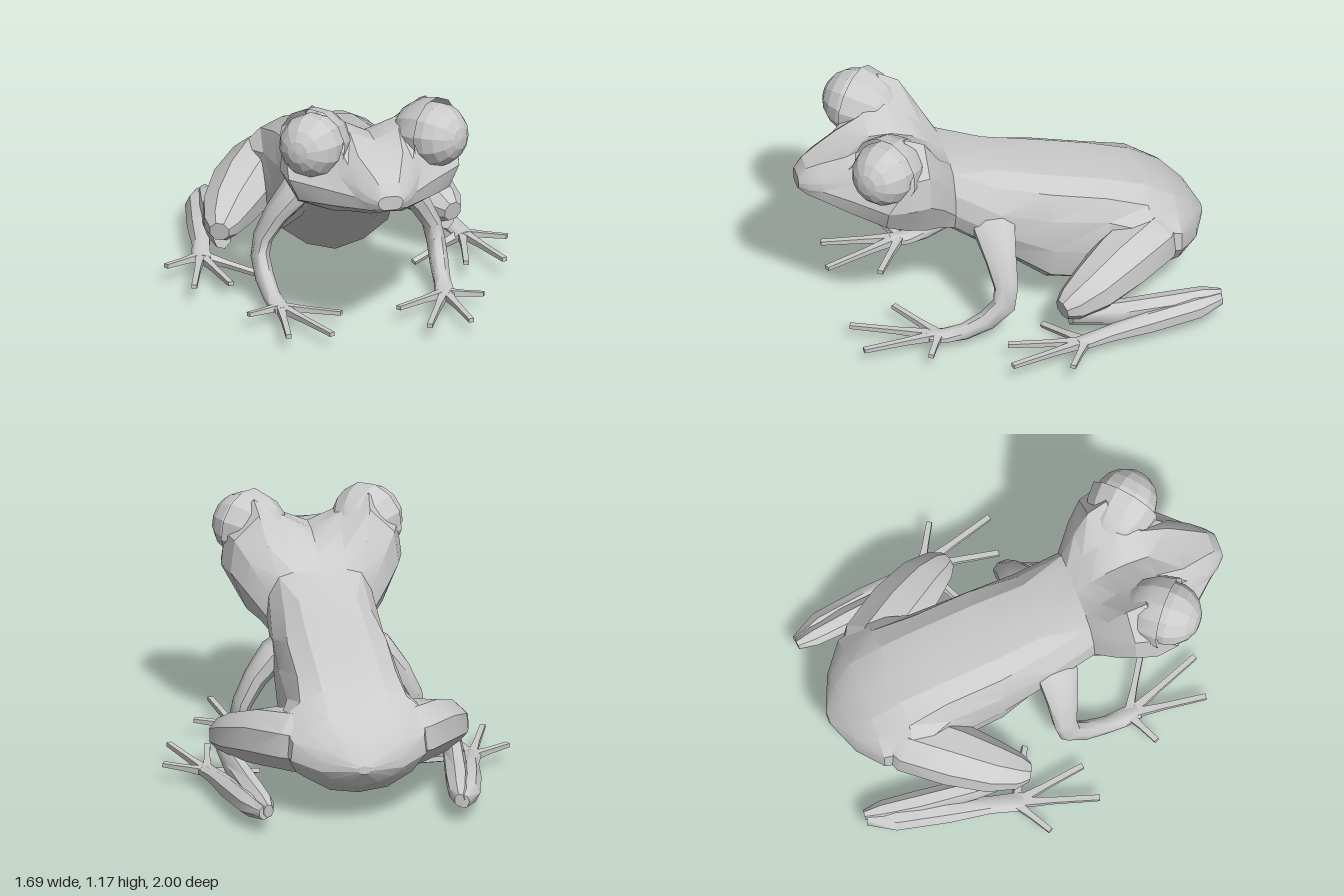
import * as THREE from 'three';
import { toCreasedNormals } from 'three/addons/utils/BufferGeometryUtils.js';

const material = new THREE.MeshStandardMaterial({ color: 0xcccccc });
const lidMaterial = new THREE.MeshStandardMaterial({ color: 0xcccccc, side: THREE.DoubleSide });

// Skin a list of equal-length rings, cap both ends and turn the faces outward.
function loft(rings, crease) {
  const n = rings[0].length, tris = [];
  for (let i = 0; i < rings.length - 1; i++)
    for (let j = 0; j < n; j++) {
      const k = (j + 1) % n, a = rings[i][j], b = rings[i][k], c = rings[i + 1][k], d = rings[i + 1][j];
      // Mirror the diagonal across the middle so both sides match
      if (j < n / 2) tris.push([a, b, c], [a, c, d]);
      else tris.push([a, b, d], [b, c, d]);
    }
  const cap = (ring, flip) => {
    const mid = ring.reduce((s, p) => s.add(p), new THREE.Vector3()).divideScalar(n);
    ring.forEach((p, j) => {
      const q = ring[(j + 1) % n];
      tris.push(flip ? [mid, q, p] : [mid, p, q]);
    });
  };
  cap(rings[0], true);
  cap(rings[rings.length - 1], false);
  let volume = 0;
  for (const [a, b, c] of tris) volume += a.dot(new THREE.Vector3().crossVectors(b, c));
  const points = tris.flatMap(t => (volume < 0 ? [t[0], t[2], t[1]] : t));
  const geometry = new THREE.BufferGeometry().setFromPoints(points);
  return toCreasedNormals(geometry, crease);
}

// Limb through stations [x, y, z, half width, half height]; side mirrors x.
function limb(stations, side, sides = 8, crease = 0.85) {
  const pts = stations.map(s => new THREE.Vector3(s[0] * side, s[1], s[2]));
  const axis = new THREE.Vector3(1, 0, 0);
  const rings = pts.map((p, i) => {
    const t = pts[Math.min(i + 1, pts.length - 1)].clone().sub(pts[Math.max(i - 1, 0)]).normalize();
    const v = new THREE.Vector3().crossVectors(t, axis).normalize();
    const u = new THREE.Vector3().crossVectors(v, t);
    return Array.from({ length: sides }, (_, j) => {
      const a = (j + 0.5) / sides * Math.PI * 2;
      return p.clone().addScaledVector(u, Math.cos(a) * stations[i][3])
        .addScaledVector(v, Math.sin(a) * stations[i][4]);
    });
  });
  return loft(rings, crease);
}

// Half-sections from top centre to bottom centre: z, then x, y pairs.
const rear = [
  [-1, 0, .32, .01, .32, .02, .315, .03, .31, .03, .295, .02, .285, .01, .28, 0, .28],
  [-.93, 0, .43, .1, .42, .17, .38, .2, .33, .2, .28, .15, .24, .08, .21, 0, .19],
  [-.83, 0, .52, .15, .51, .24, .46, .32, .4, .33, .31, .26, .22, .14, .15, 0, .13],
  [-.68, 0, .61, .15, .6, .26, .55, .36, .46, .37, .34, .3, .21, .17, .13, 0, .08],
  [-.48, 0, .68, .15, .665, .24, .61, .29, .5, .31, .33, .28, .17, .16, .1, 0, .035],
  [-.2, 0, .745, .15, .735, .24, .68, .285, .55, .29, .38, .26, .22, .14, .13, 0, .09],
  [.05, 0, .81, .14, .8, .21, .74, .27, .62, .27, .5, .22, .39, .12, .32, 0, .28],
  [.27, 0, .87, .13, .87, .2, .85, .25, .76, .26, .65, .23, .56, .13, .49, 0, .46]
];
const head = [
  [.35, 0, .92, .13, .94, .24, .98, .33, .9, .35, .76, .28, .61, .16, .54, 0, .52],
  [.43, 0, .97, .13, 1.01, .27, 1.11, .39, .99, .41, .83, .33, .64, .17, .57, 0, .56],
  [.53, 0, 1, .14, 1.07, .28, 1.16, .42, 1, .44, .84, .35, .67, .18, .62, 0, .605],
  [.64, 0, 1, .12, 1.05, .21, 1.06, .33, .92, .42, .83, .37, .72, .2, .65, 0, .645],
  [.78, 0, .97, .11, .98, .16, .94, .2, .88, .26, .82, .25, .74, .15, .7, 0, .7],
  [.9, 0, .93, .07, .93, .11, .9, .14, .86, .15, .82, .14, .76, .08, .73, 0, .74],
  [.96, 0, .9, .05, .9, .08, .87, .1, .84, .105, .81, .09, .77, .05, .755, 0, .76],
  [1, 0, .85, .03, .85, .05, .84, .06, .825, .06, .81, .05, .79, .03, .78, 0, .78]
];
function ring([z, ...xy]) {
  const half = [];
  for (let i = 0; i < xy.length; i += 2) half.push(new THREE.Vector3(xy[i], xy[i + 1], z));
  const mirrored = half.slice(1, -1).reverse().map(p => new THREE.Vector3(-p.x, p.y, z));
  return [...half, ...mirrored];
}

// Limb stations and digit tips for the left side.
const arm = [
  [.16, .58, .08, .08, .12], [.26, .53, .08, .075, .105], [.35, .42, .07, .058, .078],
  [.415, .3, .06, .048, .06], [.433, .21, .075, .045, .06], [.43, .13, .16, .046, .052],
  [.42, .075, .27, .042, .042], [.41, .06, .36, .048, .032], [.4, .065, .44, .045, .02]
];
const thigh = [
  [.1, .36, -.8, .1, .11], [.26, .355, -.67, .165, .155], [.39, .325, -.5, .16, .145],
  [.5, .28, -.34, .13, .12], [.555, .25, -.23, .09, .085], [.575, .24, -.18, .05, .05]
];
const calf = [
  [.55, .19, -.23, .045, .06], [.53, .145, -.45, .055, .065], [.5, .13, -.72, .06, .06],
  [.475, .125, -.9, .05, .05], [.465, .115, -.985, .025, .035]
];
const foot = [
  [.485, .105, -.98, .03, .035], [.53, .105, -.85, .06, .058], [.575, .095, -.6, .062, .058],
  [.615, .085, -.4, .044, .04], [.65, .08, -.24, .05, .022]
];
const fingers = [[.58, .075, .47], [.45, .07, .77], [.24, .07, .79], [.14, .075, .55]];
const toes = [[.84, .09, -.17], [.765, .09, .11], [.58, .08, .09], [.37, .015, -.13]];

export function createModel() {
  const model = new THREE.Group();
  const add = (name, geometry, parent = model, mat = material) => {
    const mesh = new THREE.Mesh(geometry, mat);
    mesh.name = name;
    parent.add(mesh);
  };

  add('bodyAndHead', loft([...rear, ...head].map(ring), 0.35));

  for (const side of [1, -1]) {
    const label = side > 0 ? 'left' : 'right';

    // Faceted eyeball with its pole outward and forward, cupped by a lid behind it
    const eye = new THREE.Group();
    eye.name = label + 'Eye';
    add('eyeball', toCreasedNormals(new THREE.SphereGeometry(0.158, 12, 9), 0.1), eye);
    const lid = new THREE.SphereGeometry(0.18, 12, 4, 0, Math.PI * 2, Math.PI * 0.5, Math.PI * 0.5);
    lid.scale(1, 1.25, 1);
    add('eyelid', toCreasedNormals(lid, 0.4), eye, lidMaterial);
    eye.position.set(0.305 * side, 1, 0.635);
    eye.quaternion.setFromUnitVectors(new THREE.Vector3(0, 1, 0),
      new THREE.Vector3(0.65 * side, 0.08, 0.75).normalize());
    model.add(eye);

    // Digits fan out from the palm or sole
    const digits = (name, root, tips, parent) => tips.forEach((tip, i) =>
      add(name + (i + 1), limb([
        [...root, .032, .026],
        [...root.map((r, k) => r + (tip[k] - r) * 0.45), .02, .018],
        [...tip, .019, .014]
      ], side, 4, 0.4), parent));

    const frontLeg = new THREE.Group();
    frontLeg.name = label + 'FrontLeg';
    add('arm', limb(arm, side), frontLeg);
    digits('finger', [.405, .065, .39], fingers, frontLeg);

    const hindLeg = new THREE.Group();
    hindLeg.name = label + 'HindLeg';
    add('thigh', limb(thigh, side, 8, 0.5), hindLeg);
    add('calf', limb(calf, side, 7), hindLeg);
    add('foot', limb(foot, side, 7), hindLeg);
    digits('toe', [.645, .08, -.28], toes, hindLeg);
    model.add(frontLeg, hindLeg);
  }
  return model;
}
